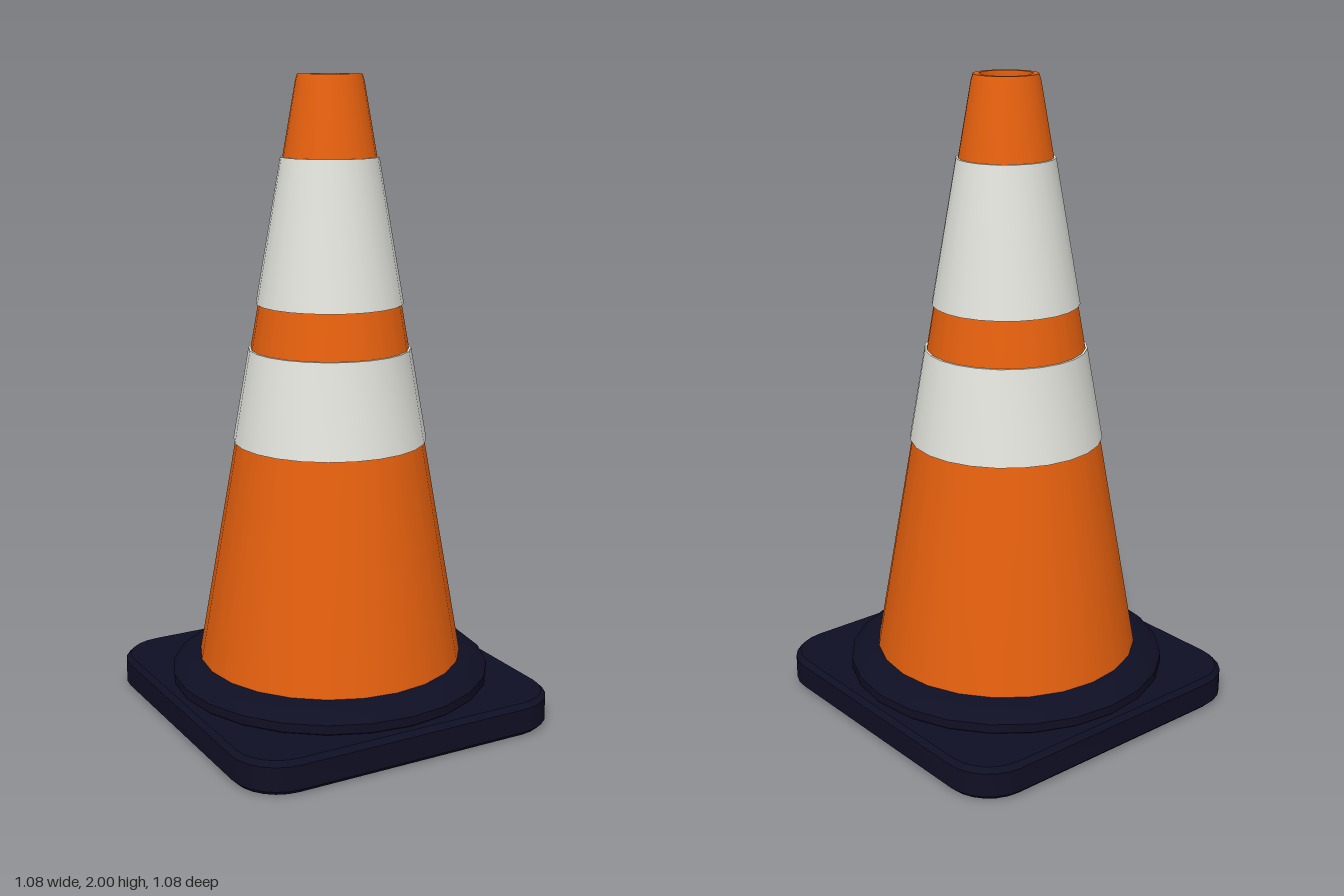
import * as THREE from 'three';
import { toCreasedNormals } from 'three/addons/utils/BufferGeometryUtils.js';

const orange = new THREE.MeshStandardMaterial({ name: 'orange plastic', color: 0xe5600e });
const white = new THREE.MeshStandardMaterial({ name: 'white band', color: 0xe4e4de });
const navy = new THREE.MeshStandardMaterial({ name: 'dark navy rubber', color: 0x0f0f24 });

const SIDES = 24;

// Outer radius of the cone at height y
const coneRadius = (y) => 0.42 - (y - 0.17) * 0.1745;

// Turned part from [radius, height] pairs, running up the outside
function turned(name, profile, material) {
  const points = profile.map(([r, y]) => new THREE.Vector2(r, y));
  const geometry = toCreasedNormals(new THREE.LatheGeometry(points, SIDES), 0.6);
  const mesh = new THREE.Mesh(geometry, material);
  mesh.name = name;
  return mesh;
}

// Thin sleeve that follows the slope of the cone
function band(name, y0, y1) {
  const t = 0.007;
  return turned(name, [
    [coneRadius(y0) - 0.005, y0],
    [coneRadius(y0) + t, y0],
    [coneRadius(y1) + t, y1],
    [coneRadius(y1) - 0.005, y1],
  ], white);
}

// Square plate with rounded corners and a small bevel
function basePlate() {
  const h = 0.54, r = 0.15, c = h - r, bevel = 0.015;
  const shape = new THREE.Shape();
  shape.moveTo(h, -c);
  shape.lineTo(h, c);
  shape.absarc(c, c, r, 0, Math.PI / 2);
  shape.absarc(-c, c, r, Math.PI / 2, Math.PI);
  shape.absarc(-c, -c, r, Math.PI, Math.PI * 1.5);
  shape.absarc(c, -c, r, Math.PI * 1.5, Math.PI * 2);
  const geometry = new THREE.ExtrudeGeometry(shape, {
    depth: 0.105 - 2 * bevel,
    curveSegments: 3,
    bevelSize: bevel,
    bevelThickness: bevel,
    bevelOffset: -bevel,
    bevelSegments: 1,
  });
  geometry.rotateX(-Math.PI / 2);
  geometry.translate(0, bevel, 0);
  const mesh = new THREE.Mesh(toCreasedNormals(geometry, 0.6), navy);
  mesh.name = 'basePlate';
  return mesh;
}

export function createModel() {
  const group = new THREE.Group();
  group.name = 'trafficCone';

  group.add(basePlate());

  // Round collar around the foot of the cone
  group.add(turned('baseCollar', [
    [0.495, 0.1], [0.507, 0.11], [0.507, 0.138], [0.485, 0.157],
    [0.445, 0.177], [0.42, 0.18], [0, 0.18],
  ], navy));

  // Hollow cone with a softened rim and an open top
  group.add(turned('coneBody', [
    [coneRadius(0.17), 0.17], [coneRadius(1.98), 1.98], [0.098, 2],
    [0.08, 2], [0.078, 1.985], [coneRadius(0.181) - 0.025, 0.181],
  ], orange));

  group.add(band('lowerBand', 0.88, 1.17));
  group.add(band('upperBand', 1.31, 1.755));

  return group;
}
